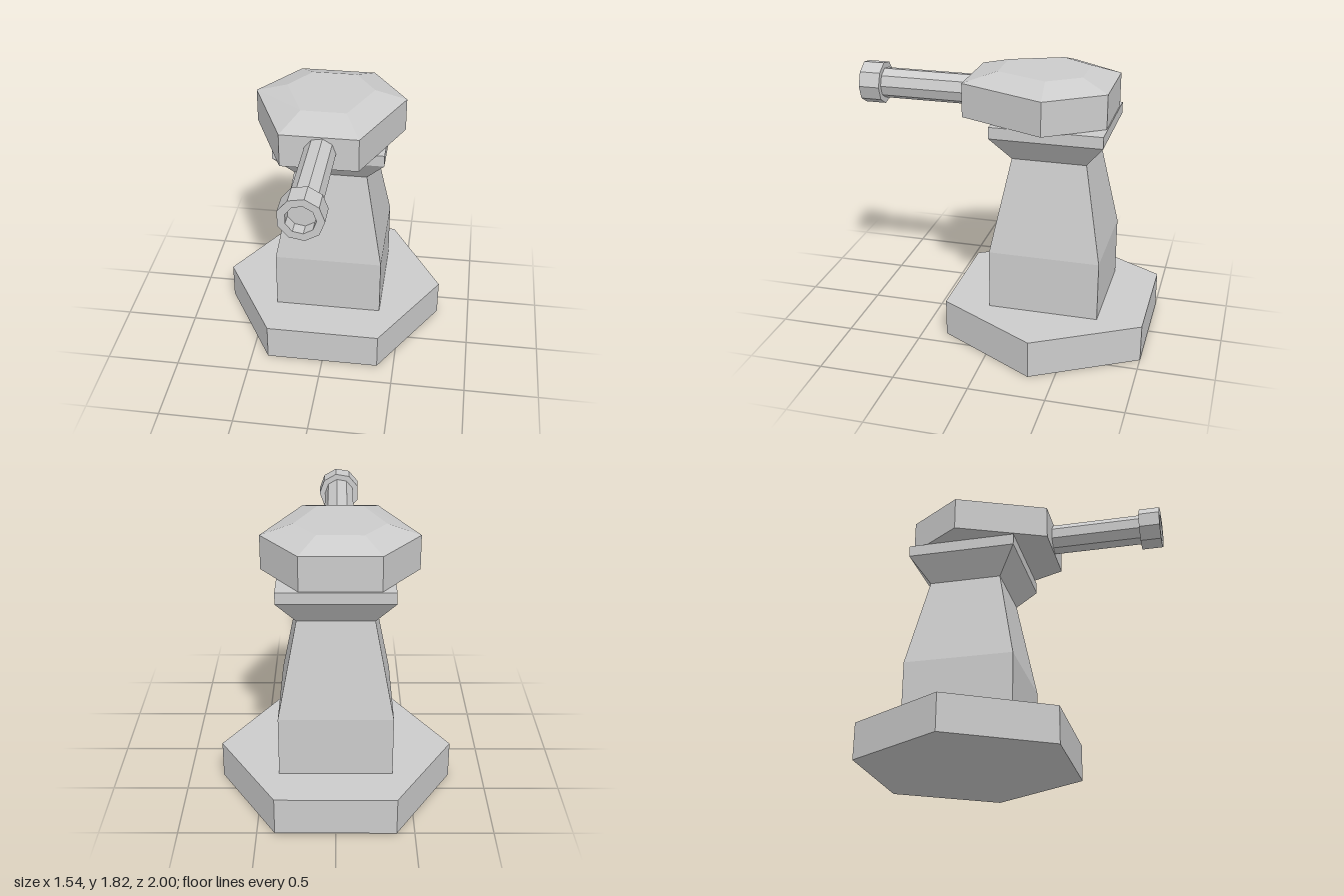
import * as THREE from 'three';

const material = new THREE.MeshStandardMaterial({ color: 0xcccccc, flatShading: true });

function part(name, geometry) {
  const flat = geometry.index ? geometry.toNonIndexed() : geometry;
  flat.computeVertexNormals();
  const mesh = new THREE.Mesh(flat, material);
  mesh.name = name;
  return mesh;
}

// Closed solid through stacked rings [y, [[x, z], ...]], corners counter-clockwise from above
function loft(rings) {
  const pos = [];
  const n = rings[0][1].length;
  const put = (r, i) => pos.push(rings[r][1][i % n][0], rings[r][0], rings[r][1][i % n][1]);
  for (let r = 0; r < rings.length - 1; r++) {
    for (let i = 0; i < n; i++) {
      put(r, i); put(r, i + 1); put(r + 1, i + 1);
      put(r, i); put(r + 1, i + 1); put(r + 1, i);
    }
  }
  const top = rings.length - 1;
  for (let i = 1; i < n - 1; i++) {
    put(0, 0); put(0, i + 1); put(0, i);
    put(top, 0); put(top, i); put(top, i + 1);
  }
  const g = new THREE.BufferGeometry();
  g.setAttribute('position', new THREE.Float32BufferAttribute(pos, 3));
  return g;
}

// Nine-sided turned part along +z from [radius, z] pairs
function turned(profile) {
  const points = profile.map(([r, z]) => new THREE.Vector2(r, z));
  return new THREE.LatheGeometry(points, 9, Math.PI / 2).rotateX(Math.PI / 2);
}

export function createModel() {
  const model = new THREE.Group();
  model.name = 'turretTower';
  const cz = -0.333;

  // Hexagonal foot
  const base = part('base', new THREE.CylinderGeometry(0.772, 0.772, 0.25, 6, 1, false, Math.PI / 2));
  base.position.set(0, 0.125, cz);
  model.add(base);

  // Square pedestal: straight, tapered, then flared to a collar
  const square = (h) => [[h, cz + h], [h, cz - h], [-h, cz - h], [-h, cz + h]];
  model.add(part('pedestal', loft([
    [0.25, square(0.367)], [0.65, square(0.367)], [1.28, square(0.245)],
    [1.445, square(0.367)], [1.522, square(0.367)],
  ])));

  // Six-sided gun house with a bevelled roof
  const outline = [[0.475, -0.33], [0.225, -0.695], [-0.28, -0.695], [-0.53, -0.33], [-0.28, 0.25], [0.225, 0.25]];
  const roof = [[0.265, -0.305], [0.12, -0.515], [-0.175, -0.515], [-0.317, -0.305], [-0.175, 0.04], [0.12, 0.04]];
  model.add(part('gunHouse', loft([[1.525, outline], [1.75, outline], [1.817, roof]])));

  // Barrel with a hollow muzzle
  const gun = new THREE.Group();
  gun.name = 'gun';
  gun.position.set(-0.022, 1.64, 0);
  gun.add(part('barrel', turned([[0, 0.1], [0.103, 0.1], [0.103, 0.87]])));
  gun.add(part('muzzle', turned([[0, 0.86], [0.142, 0.86], [0.142, 1], [0.093, 1], [0.093, 0.92], [0, 0.92]])));
  model.add(gun);

  return model;
}
